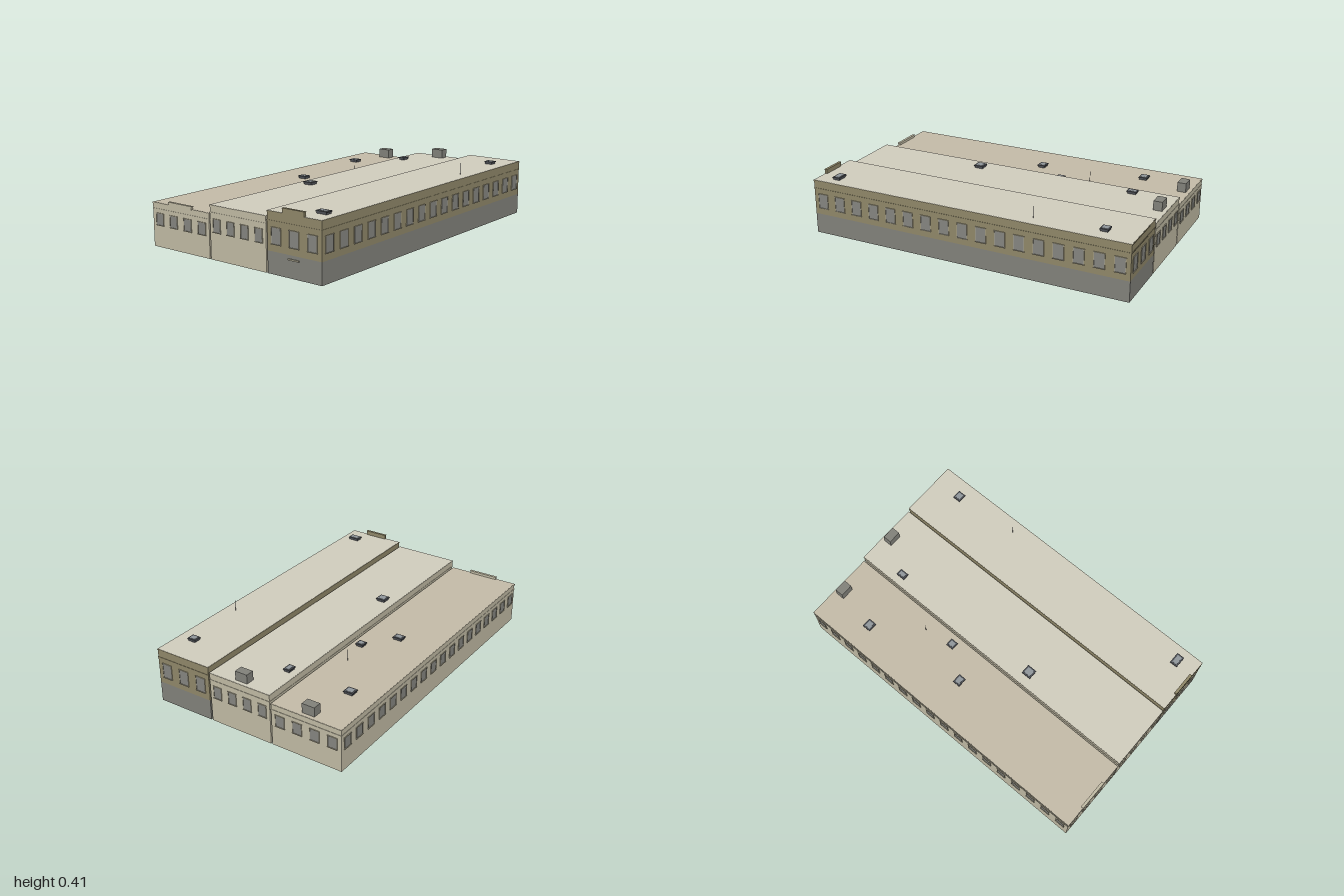
import * as THREE from 'three';

const mat = (color) => new THREE.MeshStandardMaterial({ color });
const M = {
  pale: mat(0xbfb9a3), olive: mat(0x8e8668), grey: mat(0x808079), glass: mat(0x84847f),
  tan: mat(0xc2b9a6), light: mat(0xcfcbbc), dark: mat(0x4a4d52), hatchGlass: mat(0x8f959a),
  trim: mat(0xa8a28c),
};
const DEPTH = 0.992; // half depth of every building

// Box given by its min and max corners
function box(parent, name, x0, x1, y0, y1, z0, z1, material) {
  const mesh = new THREE.Mesh(new THREE.BoxGeometry(x1 - x0, y1 - y0, z1 - z0), material);
  mesh.position.set((x0 + x1) / 2, (y0 + y1) / 2, (z0 + z1) / 2);
  mesh.name = name;
  parent.add(mesh);
  return mesh;
}

// Window facing +z: pane, jambs, lintel and sill
function makeWindow(w, h, material) {
  const g = new THREE.Group();
  g.name = 'window';
  const t = 0.003, a = w / 2, b = h / 2;
  box(g, 'pane', -a, a, -b, b, -0.004, 0.0015, M.glass);
  for (const s of [-1, 1]) box(g, 'jamb', s * a - t / 2, s * a + t / 2, -b, b, -0.004, 0.004, material);
  box(g, 'lintel', -a - t, a + t, b - t / 2, b + t / 2, -0.004, 0.005, material);
  box(g, 'sill', -a - t, a + t, -b - t / 2, -b + t / 2, -0.004, 0.006, material);
  return g;
}

// Evenly spaced windows along one wall; angle turns the row about y
function windowRow(parent, name, count, length, w, y0, y1, cx, wallDist, angle, material) {
  const row = new THREE.Group();
  row.name = name;
  for (let i = 0; i < count; i++) {
    const win = makeWindow(w, y1 - y0, material);
    win.position.set(((i + 0.5) / count - 0.5) * length, (y0 + y1) / 2, wallDist);
    row.add(win);
  }
  row.rotation.y = angle;
  row.position.x = cx;
  parent.add(row);
}

function makeBuilding(b) {
  const g = new THREE.Group();
  g.name = b.name;
  const { x0, x1, top, band } = b, D = DEPTH, e = 0.002, cx = (x0 + x1) / 2;
  const base = b.base || 0;
  if (base) box(g, 'lowerWalls', x0, x1, 0, base, -D, D, M.grey);
  box(g, 'walls', x0, x1, base, top - 0.002, -D, D, b.wall);
  // Cornice moulding and coping
  box(g, 'cornice', x0 - e, x1 + e, band - 0.004, band + 0.003, -D - e, D + e, b.wall);
  box(g, 'coping', x0 - e, x1 + e, top - 0.008, top - 0.001, -D - e, D + e, b.wall);
  box(g, 'roof', x0, x1, top - 0.003, top, -D, D, b.roof);

  // Windows on the street, rear and outer side walls
  const args = [b.winW, b.win[0], b.win[1]];
  windowRow(g, 'frontWindows', b.bays, x1 - x0, ...args, cx, D, 0, b.frame);
  windowRow(g, 'backWindows', b.bays, x1 - x0, ...args, cx, D, Math.PI, b.frame);
  if (b.side) windowRow(g, 'sideWindows', b.sideBays, 2 * D, ...args, cx, (x1 - x0) / 2, b.side * Math.PI / 2, b.frame);

  // Raised front parapet
  if (b.parapet) {
    const [p0, p1, ph] = b.parapet;
    box(g, 'parapet', p0, p1, top - 0.004, ph, D - 0.012, D + 0.003, b.wall);
    box(g, 'parapetCap', p0 - e, p1 + e, ph - 0.003, ph, D - 0.013, D + 0.004, b.wall);
  }
  // Chimney block
  if (b.chimney) box(g, 'chimney', b.chimney[0], b.chimney[1], top, b.chimney[2], -0.97, -0.917, M.grey);

  // Roof hatches: curb, wider lid and glass
  for (const [x, z, w, d] of b.hatches) {
    const h = new THREE.Group();
    h.name = 'roofHatch';
    h.position.set(x, top, z);
    box(h, 'curb', -w / 2 + 0.004, w / 2 - 0.004, 0, 0.011, -d / 2 + 0.004, d / 2 - 0.004, M.dark);
    box(h, 'lid', -w / 2, w / 2, 0.01, 0.016, -d / 2, d / 2, M.dark);
    box(h, 'skylight', -w / 2 + 0.009, w / 2 - 0.009, 0.015, 0.018, -d / 2 + 0.009, d / 2 - 0.009, M.hatchGlass);
    g.add(h);
  }
  // Thin mast
  if (b.mast) {
    const height = b.mast[2] - top;
    const mast = new THREE.Mesh(new THREE.CylinderGeometry(0.001, 0.0018, height, 6), M.dark);
    mast.name = 'mast';
    mast.position.set(b.mast[0], top + height / 2, b.mast[1]);
    g.add(mast);
  }
  return g;
}

export function createModel() {
  const model = new THREE.Group();
  model.name = 'rowBuildings';
  const specs = [
    {
      name: 'lowBuilding', x0: -0.616, x1: -0.172, top: 0.257, band: 0.22, wall: M.pale, roof: M.tan, frame: M.trim,
      bays: 4, winW: 0.057, win: [0.127, 0.197], side: -1, sideBays: 18,
      parapet: [-0.487, -0.304, 0.273], chimney: [-0.435, -0.356, 0.313], mast: [-0.26, -0.4, 0.325],
      hatches: [[-0.46, -0.675, 0.058, 0.053], [-0.23, -0.218, 0.048, 0.048], [-0.373, -0.035, 0.058, 0.048]],
    },
    {
      name: 'middleBuilding', x0: -0.163, x1: 0.242, top: 0.305, band: 0.262, wall: M.pale, roof: M.light, frame: M.trim,
      bays: 4, winW: 0.052, win: [0.155, 0.23], chimney: [0, 0.079, 0.36],
      hatches: [[-0.1, -0.73, 0.042, 0.058], [-0.08, 0.253, 0.06, 0.06]],
    },
    {
      name: 'tallBuilding', x0: 0.251, x1: 0.614, top: 0.336, band: 0.284, wall: M.olive, roof: M.light, frame: M.trim,
      base: 0.123, bays: 3, winW: 0.062, win: [0.162, 0.252], side: 1, sideBays: 17,
      parapet: [0.358, 0.502, 0.363], mast: [0.541, -0.4, 0.405],
      hatches: [[0.51, -0.806, 0.055, 0.05], [0.528, 0.87, 0.072, 0.048]],
    },
  ];
  for (const s of specs) model.add(makeBuilding(s));

  // Small ledge over the tall building's entrance
  box(model, 'entranceLedge', 0.392, 0.467, 0.096, 0.104, DEPTH - 0.004, DEPTH + 0.006, M.trim);
  return model;
}
